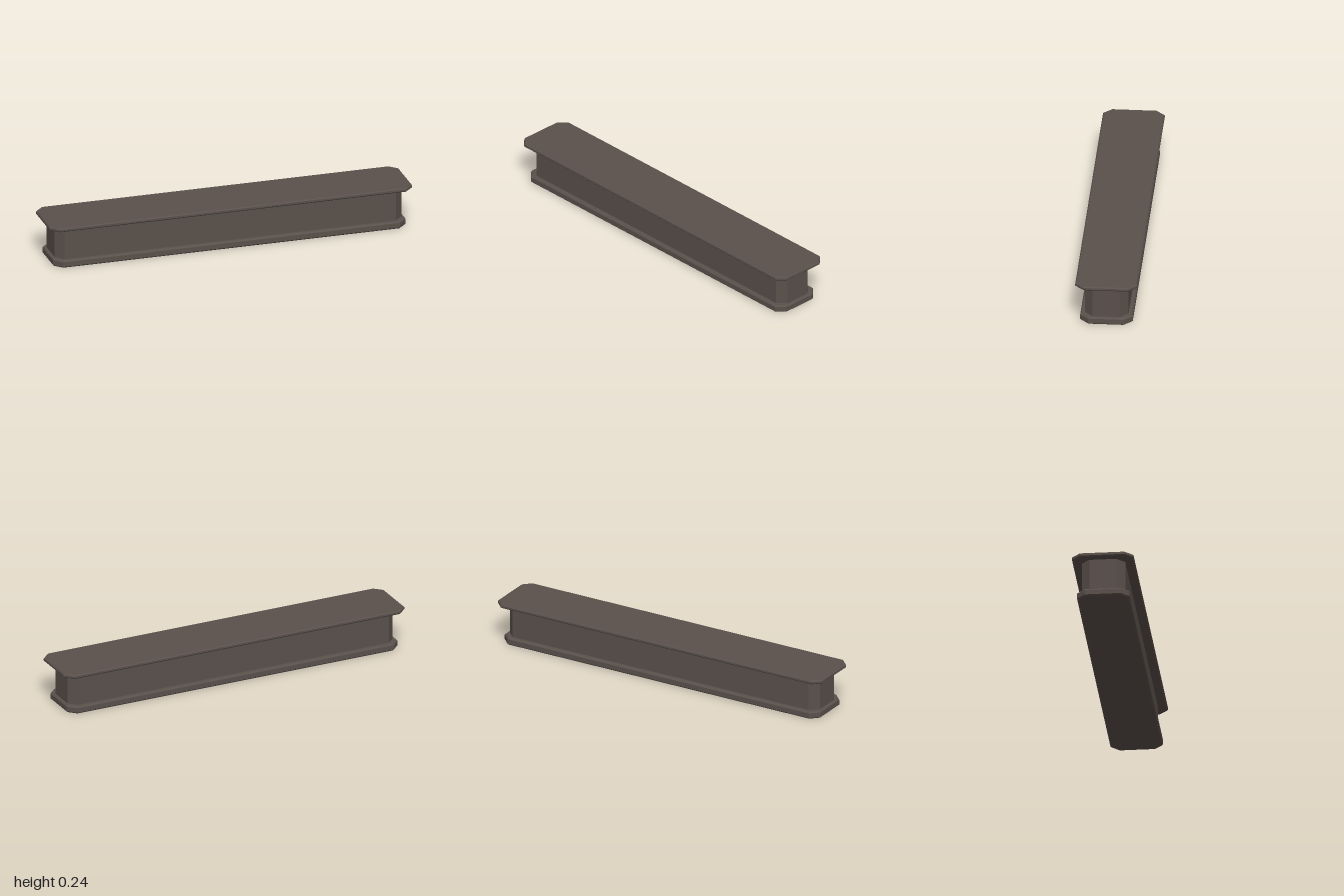
import * as THREE from 'three';

// Horizontal slab with cut corners and an optional chamfer on its top and bottom edges
function slab(name, halfX, halfZ, cut, y0, y1, bevel, material) {
  const cx = halfX - cut, cz = halfZ - cut;
  const outline = new THREE.Shape([
    [halfX, -cz], [halfX, cz], [cx, halfZ], [-cx, halfZ],
    [-halfX, cz], [-halfX, -cz], [-cx, -halfZ], [cx, -halfZ],
  ].map(([x, z]) => new THREE.Vector2(x, z)));
  const geometry = new THREE.ExtrudeGeometry(outline, {
    depth: y1 - y0 - 2 * bevel,
    bevelEnabled: bevel > 0,
    bevelThickness: bevel,
    bevelSize: bevel,
    bevelOffset: -bevel,
    bevelSegments: 1,
  });
  geometry.rotateX(-Math.PI / 2);
  geometry.translate(0, y0 + bevel, 0);
  const mesh = new THREE.Mesh(geometry, material);
  mesh.name = name;
  return mesh;
}

export function createModel() {
  const stone = new THREE.MeshStandardMaterial({ color: 0x5a504b });
  stone.name = 'dark brown stone';

  const group = new THREE.Group();
  group.name = 'lowWall';
  group.add(
    // Wide foot
    slab('base', 0.972, 0.139, 0.044, 0, 0.04, 0.007, stone),
    // Plain upright body
    slab('body', 0.955, 0.115, 0.044, 0.035, 0.22, 0, stone),
    // Thin overhanging cap
    slab('topPlate', 1, 0.163, 0.044, 0.214, 0.236, 0.006, stone),
  );
  return group;
}
